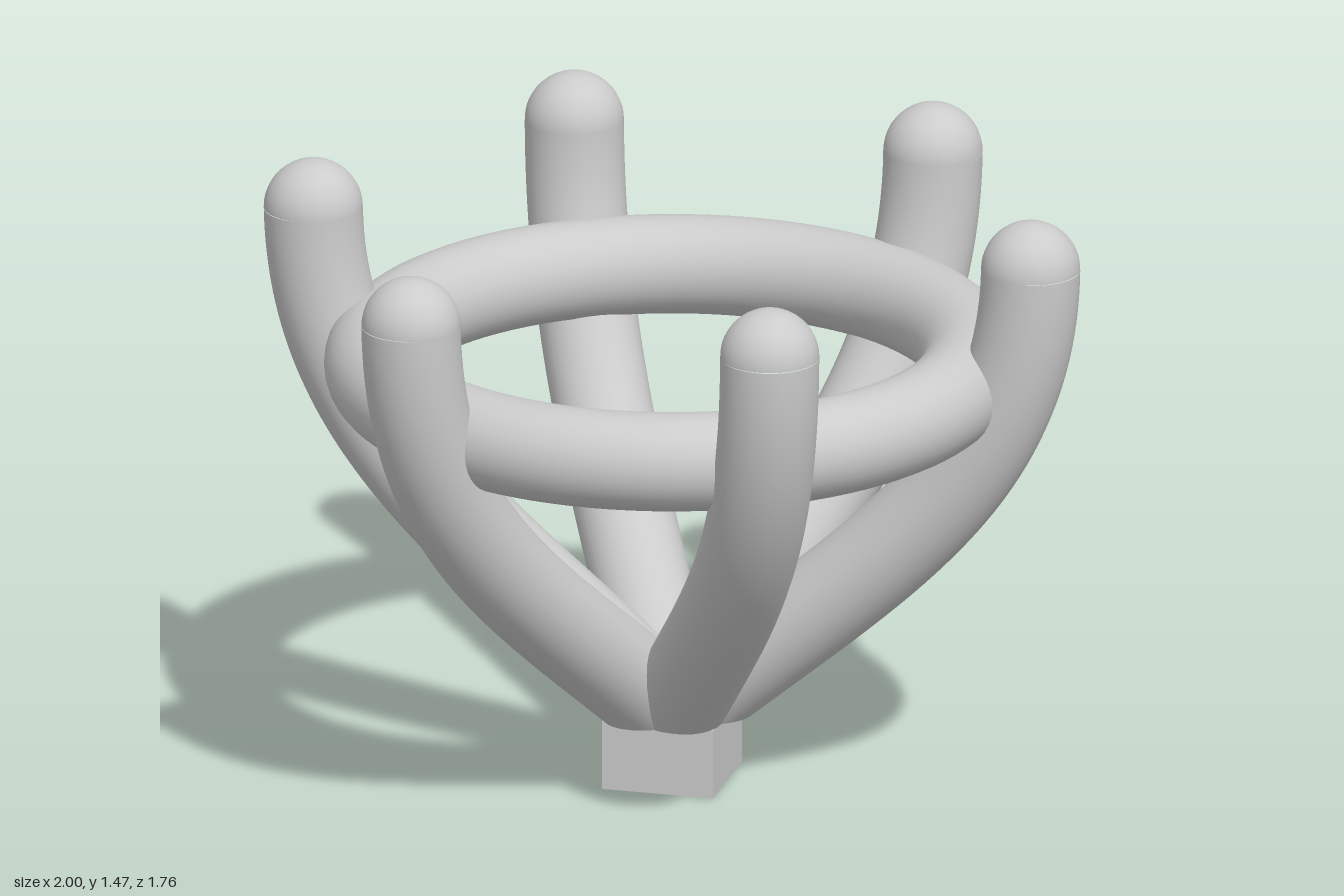
import * as THREE from 'three';

const TUBE = 0.118;   // radius shared by prongs and ring
const BASE_TOP = 0.17;

// Prong tube in the XY plane, its lower end mitred flat on the base plane
function prongGeometry() {
  const foot = new THREE.Vector3(0.015, BASE_TOP, 0);
  const dir = new THREE.Vector3(0.753, 0.658, 0).normalize();
  const path = new THREE.CurvePath();
  path.add(new THREE.LineCurve3(foot.clone().addScaledVector(dir, -0.2), foot));
  path.add(new THREE.CubicBezierCurve3(
    foot,
    foot.clone().addScaledVector(dir, 0.6),
    new THREE.Vector3(0.87, 0.8, 0),
    new THREE.Vector3(0.88, 1.352, 0)
  ));
  const geo = new THREE.TubeGeometry(path, 72, TUBE, 32, false);

  // Slide everything below the base plane along the axis up to it
  const pos = geo.attributes.position;
  for (let i = 0; i < pos.count; i++) {
    const gap = BASE_TOP - pos.getY(i);
    if (gap > 0) pos.setXY(i, pos.getX(i) + (gap * dir.x) / dir.y, BASE_TOP);
  }
  return geo;
}

export function createModel() {
  const model = new THREE.Group();
  const material = new THREE.MeshStandardMaterial({ color: 0xcccccc });

  const add = (parent, name, geometry, x = 0, y = 0, z = 0) => {
    const mesh = new THREE.Mesh(geometry, material);
    mesh.name = name;
    mesh.position.set(x, y, z);
    parent.add(mesh);
    return mesh;
  };

  // Square base peg
  add(model, 'base', new THREE.BoxGeometry(0.272, BASE_TOP, 0.272), 0, BASE_TOP / 2, 0);

  // Horizontal ring joining the prongs
  add(model, 'ring', new THREE.TorusGeometry(0.708, TUBE, 32, 96).rotateX(Math.PI / 2), 0, 1.038, 0);

  // Six prongs with domed tips and flat elliptical feet
  const stem = prongGeometry();
  const dome = new THREE.SphereGeometry(TUBE, 32, 12, 0, Math.PI * 2, 0, Math.PI / 2);
  const sole = new THREE.CircleGeometry(TUBE, 32).rotateX(Math.PI / 2).scale(1 / 0.658, 1, 1);
  for (let i = 0; i < 6; i++) {
    const prong = new THREE.Group();
    prong.name = `prong${i + 1}`;
    add(prong, 'stem', stem);
    add(prong, 'tip', dome, 0.88, 1.352, 0);
    add(prong, 'foot', sole, 0.015, BASE_TOP, 0);
    prong.rotation.y = (i * Math.PI) / 3;
    model.add(prong);
  }
  return model;
}
